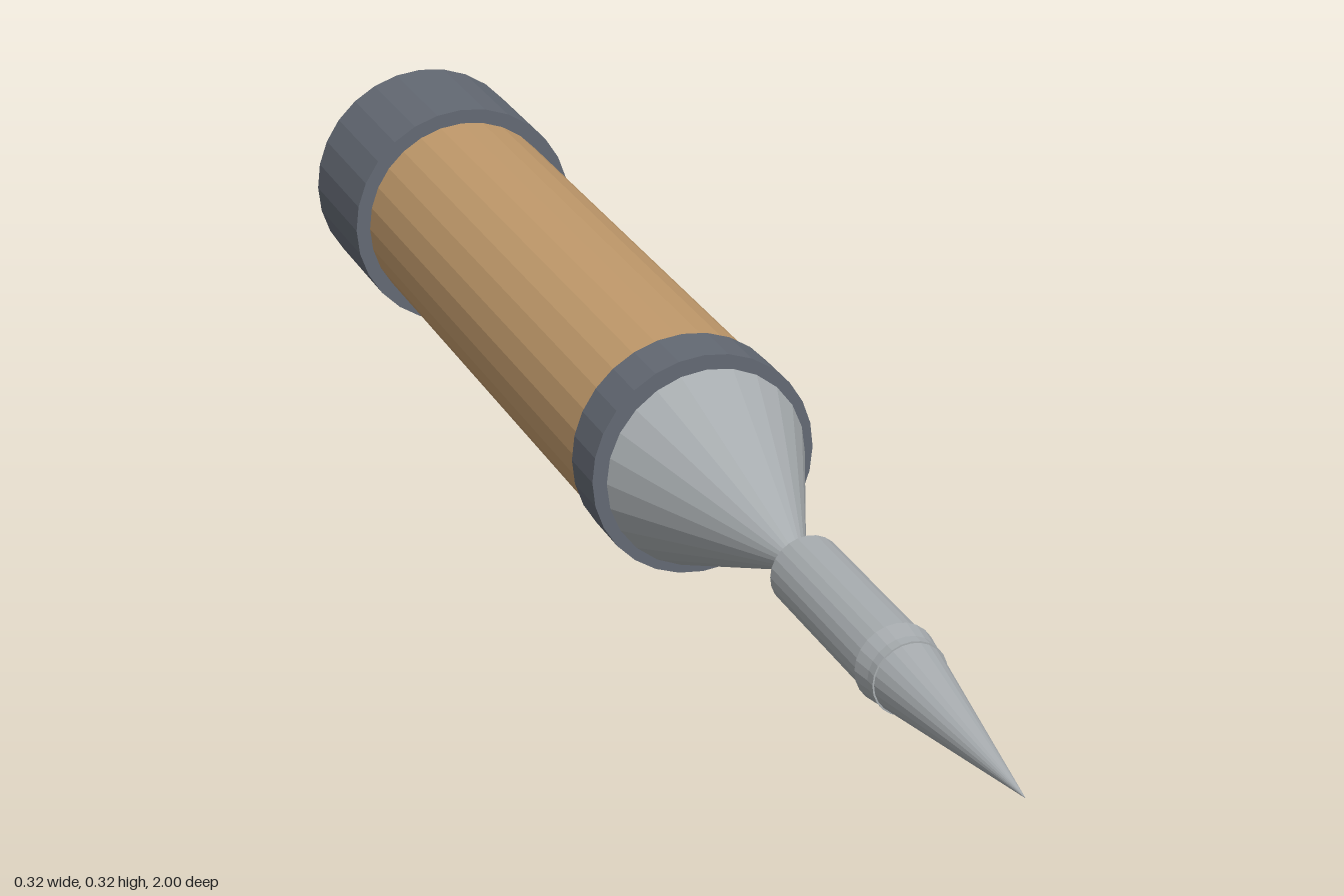
import * as THREE from 'three';

export function createModel() {
  const model = new THREE.Group();
  model.name = 'dart';
  const axisY = 0.16;

  const material = (name, color) => {
    const m = new THREE.MeshStandardMaterial({ color, flatShading: true });
    m.name = name;
    return m;
  };
  const wood = material('tan wood', 0xc19a6b);
  const darkMetal = material('dark metal', 0x636973);
  const steel = material('light steel', 0xa8adb0);

  // Every part is a cylinder or cone along z, from zBack to zFront
  function turned(name, mat, zBack, zFront, rBack, rFront, sides) {
    const geometry = new THREE.CylinderGeometry(rFront, rBack, zFront - zBack, sides);
    geometry.rotateX(Math.PI / 2);
    const mesh = new THREE.Mesh(geometry, mat);
    mesh.name = name;
    mesh.position.set(0, axisY, (zBack + zFront) / 2);
    model.add(mesh);
  }

  // Body with its two bands
  turned('body', wood, -1, 0.09, 0.14, 0.14, 28);
  turned('rearCap', darkMetal, -0.81, -0.994, 0.16, 0.16, 28);
  model.children.pop();
  turned('rearCap', darkMetal, -0.994, -0.81, 0.16, 0.16, 28);
  turned('frontBand', darkMetal, 0.028, 0.1, 0.147, 0.147, 28);

  // Nose cone, separated from the band by a narrow gap
  turned('noseCone', steel, 0.11, 0.42, 0.132, 0, 24);

  // Needle shaft and its slightly wider point
  turned('needleShaft', steel, 0.42, 0.71, 0.046, 0.046, 24);
  turned('needlePoint', steel, 0.67, 1, 0.05, 0, 24);

  return model;
}
